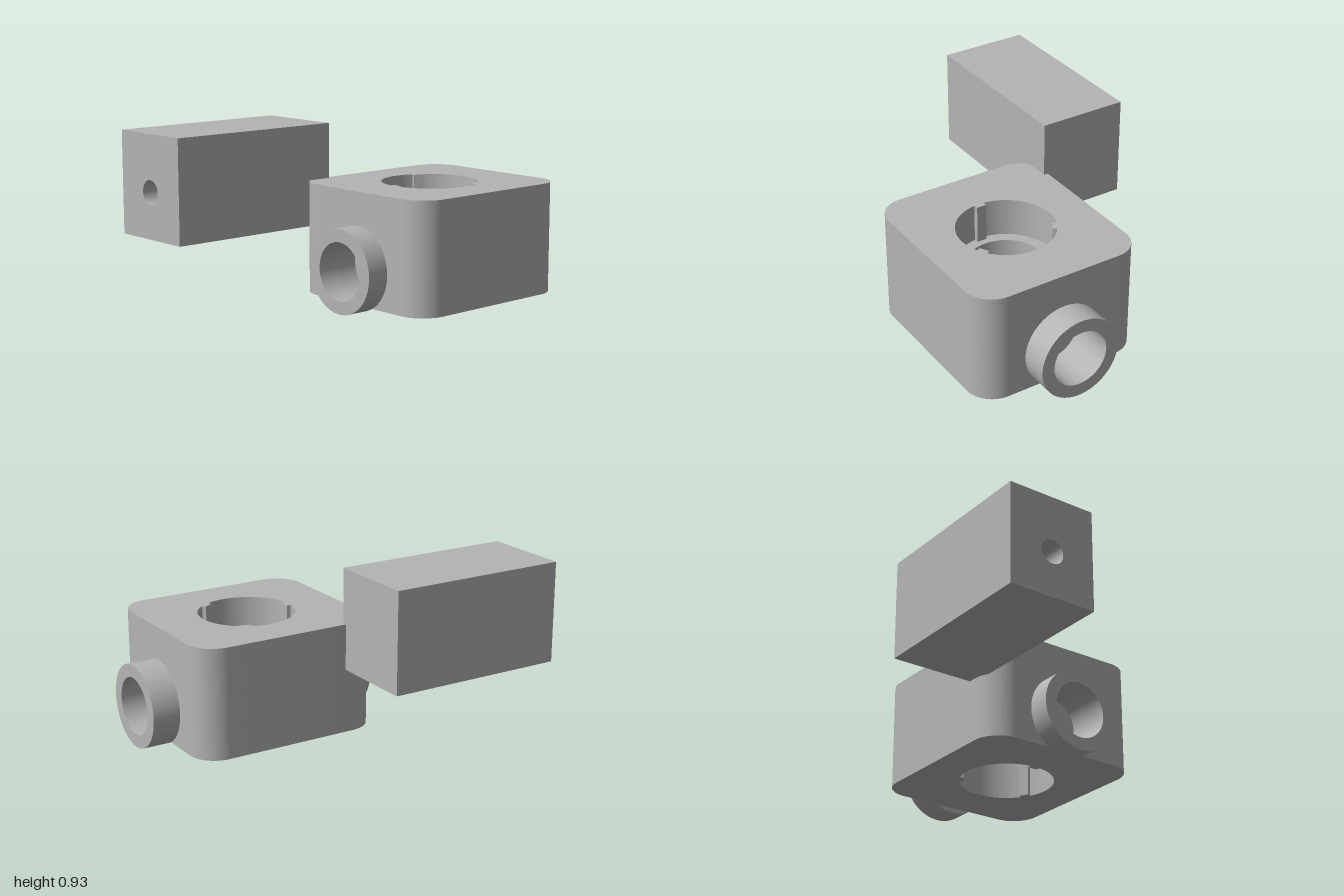
import * as THREE from 'three';
import { toCreasedNormals } from 'three/addons/utils/BufferGeometryUtils.js';

const CX = 0.235, CZ = -0.325;              // centre of the housing bore
const X0 = -0.24, X1 = 0.71;                // housing width
const FRONT = 0.2, BACK = -0.85;            // housing depth
const Y0 = 0.03, Y1 = 0.63;                 // housing height
const PORT_Y = 0.225, PORT_R = 0.225, PORT_BORE = 0.155;
const FLOOR_F = 0.075, FLOOR_B = -0.75;     // ends of the blind port bores
const POCKET = 0.185;                       // half width of the port walls

function extrude(shape, depth) {
  const g = new THREE.ExtrudeGeometry(shape, { depth, bevelEnabled: false, curveSegments: 32 });
  return toCreasedNormals(g, 0.5);
}

function circle(Type, x, y, r) {
  return new Type().absarc(x, y, r, 0, Math.PI * 2, false);
}

function rect(x0, y0, x1, y1) {
  return new THREE.Shape([[x0, y0], [x1, y0], [x1, y1], [x0, y1]].map(p => new THREE.Vector2(...p)));
}

// Plan outline (shape y = -z): rounded rectangle, notched where the port walls fit
function housingOutline() {
  const r = 0.15, f = -FRONT, b = -BACK, H = Math.PI / 2;
  const s = new THREE.Shape();
  s.moveTo(X0 + r, f);
  s.lineTo(CX - POCKET, f);
  s.lineTo(CX - POCKET, -FLOOR_F);
  s.lineTo(CX + POCKET, -FLOOR_F);
  s.lineTo(CX + POCKET, f);
  s.absarc(X1 - r, f + r, r, -H, 0, false);
  s.absarc(X1 - r, b - r, r, 0, H, false);
  s.lineTo(CX + POCKET, b);
  s.lineTo(CX + POCKET, -FLOOR_B);
  s.lineTo(CX - POCKET, -FLOOR_B);
  s.lineTo(CX - POCKET, b);
  s.absarc(X0 + r, b - r, r, H, 2 * H, false);
  s.absarc(X0 + r, f + r, r, 2 * H, 3 * H, false);
  return s;
}

// Bore with three small inward keys
function keyedBore() {
  const p = new THREE.Path(), R = 0.26, key = 0.237, half = 0.115, third = Math.PI * 2 / 3;
  for (let k = 0; k < 3; k++) {
    const a = -Math.PI / 2 + k * third, b = a + third;
    p.absarc(CX, -CZ, R, a + half, b - half, false);
    for (const t of [b - half, b + half]) p.lineTo(CX + key * Math.cos(t), -CZ + key * Math.sin(t));
  }
  p.closePath();
  return p;
}

export function createModel() {
  const group = new THREE.Group();
  const grey = new THREE.MeshStandardMaterial({ color: 0xb4b4b4 });
  grey.name = 'grey';

  function add(name, geometry, z = 0) {
    const m = new THREE.Mesh(geometry, grey);
    m.name = name;
    m.position.z = z;
    group.add(m);
    return m;
  }

  // Housing in three layers, the middle one forming the narrow ledge
  const layers = [
    ['housingLower', Y0, 0.24, keyedBore()],
    ['housingLedge', 0.24, 0.42, circle(THREE.Path, CX, -CZ, 0.2)],
    ['housingUpper', 0.42, Y1, keyedBore()],
  ];
  for (const [name, y0, y1, hole] of layers) {
    const s = housingOutline();
    s.holes.push(hole);
    add(name, extrude(s, y1 - y0).rotateX(-Math.PI / 2)).position.y = y0;
  }

  // Port walls with blind bores, and the collars standing out of them
  const ports = [
    ['front', FLOOR_F, FRONT, FRONT, 0.325],
    ['back', BACK, FLOOR_B, -1, BACK],
  ];
  for (const [side, w0, w1, c0, c1] of ports) {
    const wall = rect(CX - POCKET, Y0, CX + POCKET, Y1);
    wall.holes.push(circle(THREE.Path, CX, PORT_Y, PORT_BORE));
    add(side + 'PortWall', extrude(wall, w1 - w0), w0);
    const collar = circle(THREE.Shape, CX, PORT_Y, PORT_R);
    collar.holes.push(circle(THREE.Path, CX, PORT_Y, PORT_BORE));
    add(side + 'PortCollar', extrude(collar, c1 - c0), c0);
  }

  // Separate block with a blind hole in its front
  const [bx0, bx1, by0, by1] = [-0.71, -0.215, 0.38, 0.93];
  const drilled = rect(bx0, by0, bx1, by1);
  drilled.holes.push(circle(THREE.Path, -0.4625, 0.627, 0.065));
  add('blockFront', extrude(drilled, 0.5), 0.5);
  add('blockRear', extrude(rect(bx0, by0, bx1, by1), 0.5), 0);

  return group;
}
